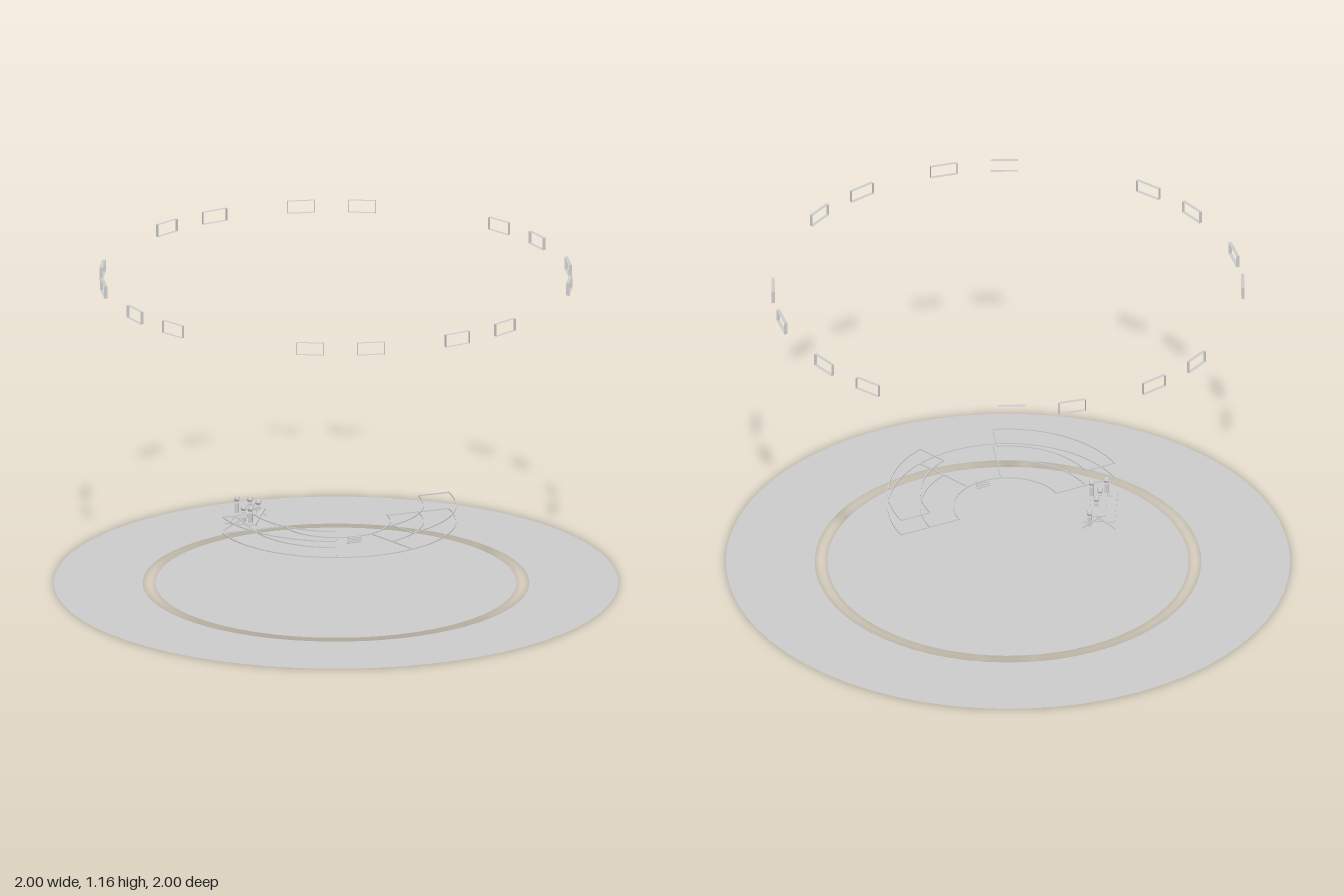
import * as THREE from 'three';

const grey = new THREE.MeshStandardMaterial({ color: 0xcccccc, side: THREE.DoubleSide, flatShading: true });
const BAR = 0.004;

function add(parent, name, geometry, x = 0, y = 0, z = 0) {
  const mesh = new THREE.Mesh(geometry, grey);
  mesh.name = name;
  mesh.position.set(x, y, z);
  parent.add(mesh);
  return mesh;
}

// Thin straight bar between two points
function bar(parent, name, a, b, size = BAR) {
  const mesh = add(parent, name, new THREE.BoxGeometry(size, size, a.distanceTo(b)));
  mesh.position.copy(a).add(b).multiplyScalar(0.5);
  mesh.lookAt(b);
  return mesh;
}

// Thin curved bar; angles in degrees from +x towards +z
function arcBar(parent, name, radius, from, to, y) {
  const a = THREE.MathUtils.degToRad(from), b = THREE.MathUtils.degToRad(to);
  const shape = new THREE.Shape();
  shape.absarc(0, 0, radius + BAR / 2, a, b, false);
  shape.absarc(0, 0, radius - BAR / 2, b, a, true);
  const geometry = new THREE.ExtrudeGeometry(shape, { depth: BAR, bevelEnabled: false, curveSegments: 24 });
  geometry.rotateX(Math.PI / 2);
  add(parent, name, geometry, 0, y + BAR / 2, 0);
}

function radialBar(parent, name, r0, r1, angle, y) {
  const t = THREE.MathUtils.degToRad(angle), c = Math.cos(t), s = Math.sin(t);
  bar(parent, name, new THREE.Vector3(r0 * c, y, r0 * s), new THREE.Vector3(r1 * c, y, r1 * s));
}

// Open rectangular frame: four strips without front or back
function openFrame(width, height, depth) {
  const frame = new THREE.Group();
  for (const s of [-1, 1]) {
    const flat = new THREE.PlaneGeometry(width, depth).rotateX(-Math.PI / 2);
    add(frame, s > 0 ? 'frameTop' : 'frameBottom', flat, 0, s * height / 2, 0);
    const side = new THREE.PlaneGeometry(depth, height).rotateY(Math.PI / 2);
    add(frame, 'frameSide', side, s * width / 2, 0, 0);
  }
  return frame;
}

function createTerrace() {
  const terrace = new THREE.Group();
  terrace.name = 'terrace';
  const low = 0.23, high = 0.29;
  // Lower tier outline
  arcBar(terrace, 'lowerInnerRim', 0.193, 0, 180, low);
  arcBar(terrace, 'lowerOuterRim', 0.425, 0, 180, low);
  for (const angle of [0, 70, 110, 180]) radialBar(terrace, 'lowerDivider', 0.193, 0.425, angle, low);
  // Upper tier outlines on both sides of the aisle
  for (const start of [0, 110]) {
    arcBar(terrace, 'lowerMiddleRim', 0.31, start, start + 70, low);
    arcBar(terrace, 'upperInnerRim', 0.31, start, start + 70, high);
    arcBar(terrace, 'upperOuterRim', 0.425, start, start + 70, high);
    for (const angle of [start, start + 70]) radialBar(terrace, 'upperEnd', 0.31, 0.425, angle, high);
  }
  // Small stair at the aisle
  for (let i = 0; i < 4; i++) {
    add(terrace, 'stairTread', new THREE.BoxGeometry(0.05, 0.004, 0.007), 0, 0.207 + i * 0.007, 0.19 + i * 0.003);
  }
  return terrace;
}

function createTable() {
  const table = new THREE.Group();
  table.name = 'picnicTable';
  add(table, 'tableTop', new THREE.BoxGeometry(0.2, 0.004, 0.045), 0, 0.255, 0);
  for (const s of [-1, 1]) {
    add(table, 'bench', new THREE.BoxGeometry(0.2, 0.004, 0.02), 0, 0.231, s * 0.046);
    // Crossed legs and bench support at each end
    const x = s * 0.088;
    for (const t of [-1, 1]) {
      bar(table, 'leg', new THREE.Vector3(x + s * 0.012, 0.205, t * 0.06), new THREE.Vector3(x, 0.254, -t * 0.015), 0.005);
    }
    bar(table, 'crossBeam', new THREE.Vector3(x, 0.228, -0.058), new THREE.Vector3(x, 0.228, 0.058));
  }
  table.position.set(-0.285, 0, -0.16);
  table.rotation.y = Math.PI / 3;
  return table;
}

// Simple figure: block body and faceted head
function createFigure([x, headY, z]) {
  const figure = new THREE.Group();
  figure.name = 'figure';
  add(figure, 'body', new THREE.BoxGeometry(0.014, 0.036, 0.014), 0, -0.033, 0);
  add(figure, 'head', new THREE.SphereGeometry(0.012, 6, 4));
  figure.position.set(x, headY, z);
  figure.rotation.y = Math.PI / 3;
  return figure;
}

export function createModel() {
  const model = new THREE.Group();
  model.name = 'arena';

  // Flat floor and surrounding walkway
  add(model, 'floorDisc', new THREE.CircleGeometry(0.64, 64).rotateX(-Math.PI / 2));
  add(model, 'outerRing', new THREE.RingGeometry(0.685, 1, 64).rotateX(-Math.PI / 2));

  model.add(createTerrace(), createTable());

  const figures = [
    [-0.33, 0.312, -0.12], [-0.305, 0.275, -0.12], [-0.295, 0.285, -0.075],
    [-0.26, 0.285, -0.18], [-0.215, 0.258, -0.215],
  ];
  for (const f of figures) model.add(createFigure(f));

  // Circle of hanging open frames, four per quarter
  for (let quarter = 0; quarter < 4; quarter++) {
    for (const offset of [-26.2, -11.3, 11.3, 26.2]) {
      const t = THREE.MathUtils.degToRad(quarter * 90 + offset);
      const frame = openFrame(0.098, 0.045, 0.012);
      frame.name = 'hangingFrame';
      frame.position.set(0.832 * Math.sin(t), 1.135, 0.832 * Math.cos(t));
      frame.rotation.y = t;
      model.add(frame);
    }
  }
  return model;
}
